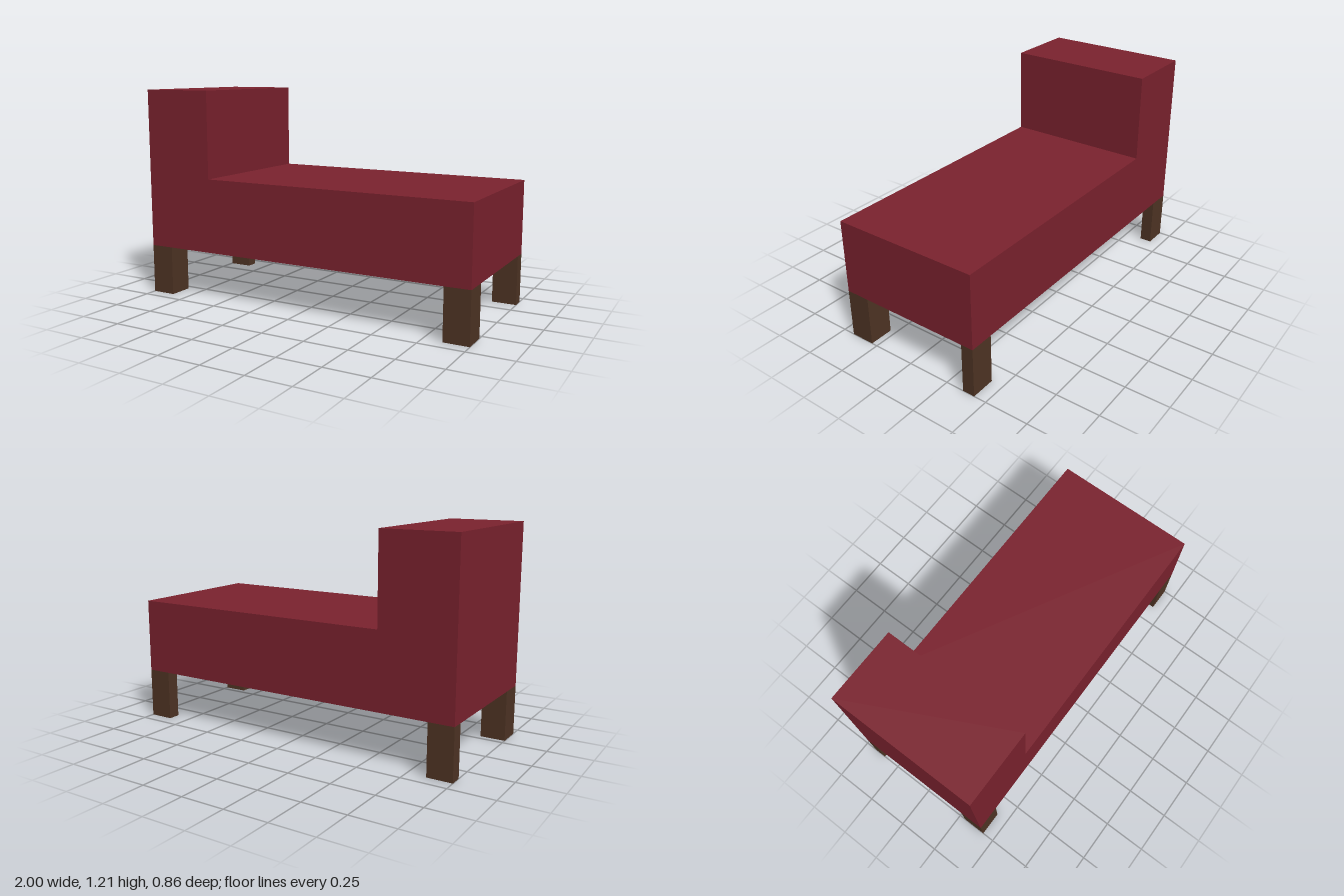
import * as THREE from 'three';

const fabric = new THREE.MeshStandardMaterial({ color: 0x7b222e });
fabric.name = 'red fabric';
const wood = new THREE.MeshStandardMaterial({ color: 0x4f3424, side: THREE.DoubleSide });
wood.name = 'dark wood';

const HALF_X = 1, HALF_Z = 0.428;
const LEG_H = 0.286, SEAT_Y = 0.714, BACK_Y = 1.214, BACK_X = -0.572;

// Open-ended square tube: a box without its top and bottom faces
function legGeometry(w, h, d) {
  const geo = new THREE.BoxGeometry(w, h, d);
  const index = Array.from(geo.index.array);
  geo.setIndex([...index.slice(0, 12), ...index.slice(24)]);
  geo.clearGroups();
  return geo;
}

export function createModel() {
  const model = new THREE.Group();
  model.name = 'chaiseLounge';

  // Seat and raised backrest as one L-shaped block
  const profile = new THREE.Shape([
    [-HALF_X, LEG_H], [HALF_X, LEG_H], [HALF_X, SEAT_Y],
    [BACK_X, SEAT_Y], [BACK_X, BACK_Y], [-HALF_X, BACK_Y],
  ].map(([x, y]) => new THREE.Vector2(x, y)));
  const bodyGeo = new THREE.ExtrudeGeometry(profile, { depth: HALF_Z * 2, bevelEnabled: false });
  bodyGeo.translate(0, 0, -HALF_Z);
  const body = new THREE.Mesh(bodyGeo, fabric);
  body.name = 'seatAndBackrest';
  model.add(body);

  // Legs flush with the corners; the rear pair is half as deep
  const legW = 0.142;
  for (const [row, sz, depth] of [['front', 1, 0.142], ['back', -1, 0.071]]) {
    for (const [side, sx] of [['Left', 1], ['Right', -1]]) {
      const leg = new THREE.Mesh(legGeometry(legW, LEG_H, depth), wood);
      leg.name = `${row}${side}Leg`;
      leg.position.set(sx * (HALF_X - legW / 2), LEG_H / 2, sz * (HALF_Z - depth / 2));
      model.add(leg);
    }
  }
  return model;
}
